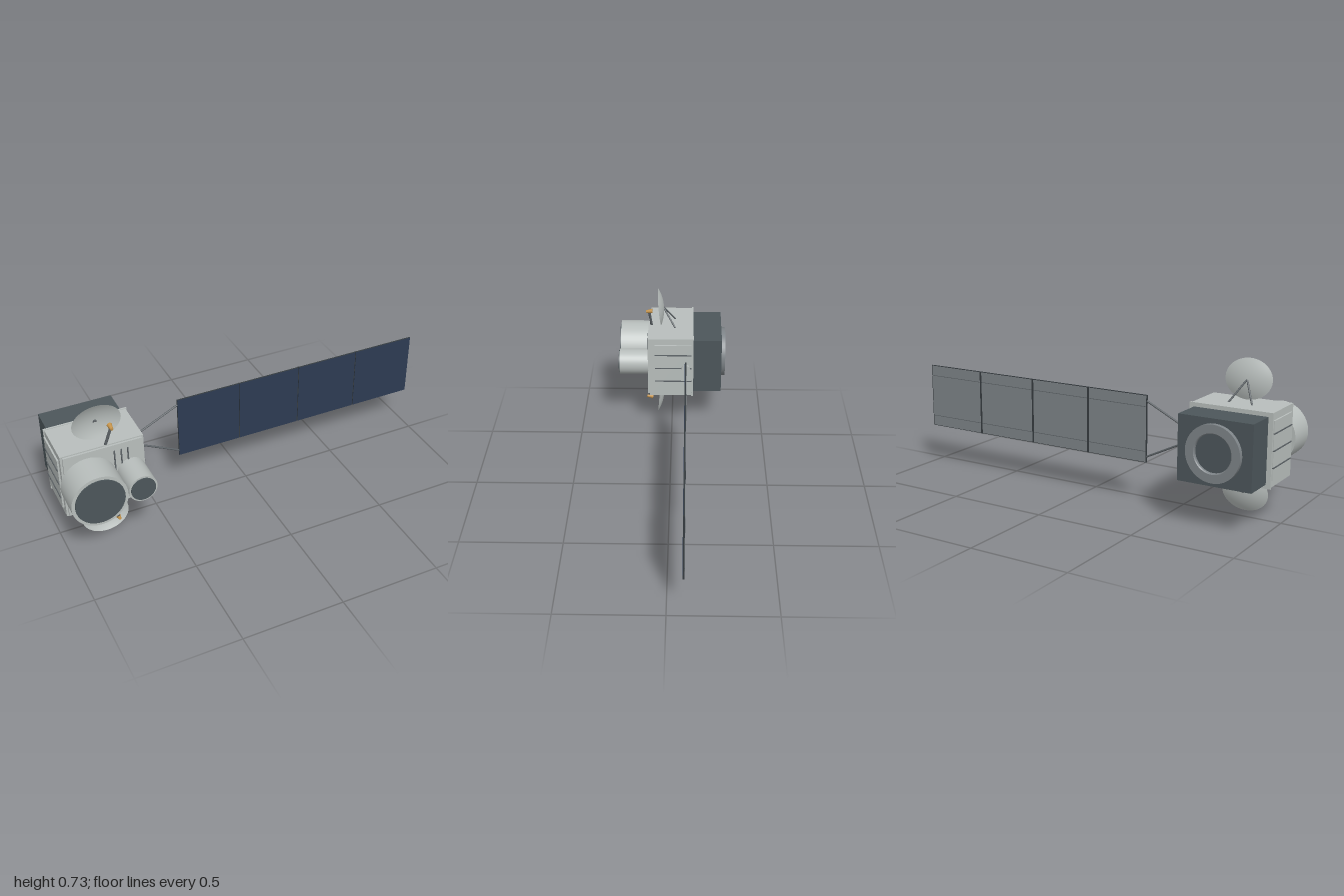
import * as THREE from 'three';

const CY = 0.369;   // mid height of the craft
const BX = -0.785;  // middle of the body across
const V = (x, y, z) => new THREE.Vector3(x, y, z);

function paint(name, color, side = THREE.FrontSide) {
  const m = new THREE.MeshStandardMaterial({ color, side });
  m.name = name;
  return m;
}

export function createModel() {
  const root = new THREE.Group();
  root.name = 'satellite';

  const hull = paint('hull light grey', 0xb8bebc);
  const dishPaint = paint('dish light grey', 0xb8bebc, THREE.DoubleSide);
  const dark = paint('dark slate', 0x4c565a);
  const strut = paint('strut grey', 0x5c6266);
  const cells = paint('solar cell navy', 0x2d3b52);
  const back = paint('panel back grey', 0x7e8488);
  const trim = paint('panel edge charcoal', 0x363c40);
  const gold = paint('feed gold', 0xc4934a);

  const add = (parent, name, geo, mat, pos) => {
    const m = new THREE.Mesh(geo, mat);
    m.name = name;
    if (pos) m.position.copy(pos);
    parent.add(m);
    return m;
  };
  const box = (parent, name, mat, w, h, d, x, y, z) =>
    add(parent, name, new THREE.BoxGeometry(w, h, d), mat, V(x, y, z));
  // Round part between two points, r0 at a and r1 at b
  const rod = (parent, name, mat, a, b, r0, r1 = r0, sides = 10) => {
    const d = b.clone().sub(a);
    const m = add(parent, name, new THREE.CylinderGeometry(r1, r0, d.length(), sides), mat,
      a.clone().add(b).multiplyScalar(0.5));
    m.quaternion.setFromUnitVectors(V(0, 1, 0), d.normalize());
    return m;
  };
  const group = (name) => {
    const g = new THREE.Group();
    g.name = name;
    root.add(g);
    return g;
  };

  // Main body
  const body = group('body');
  box(body, 'hull', hull, 0.4, 0.344, 0.23, BX, CY, 0.007);
  box(body, 'frontPlate', hull, 0.38, 0.332, 0.01, BX, CY, 0.127);
  box(body, 'rearFlange', hull, 0.41, 0.35, 0.01, BX, CY, -0.112);
  for (const s of [1, -1]) {
    const x = BX + s * 0.2;
    box(body, 'sidePanel', hull, 0.012, 0.275, 0.2, x + s * 0.002, CY, -0.005);
    for (const dy of [-0.079, 0, 0.079])
      box(body, 'sideRib', strut, 0.008, 0.005, 0.2, x + s * 0.008, CY + dy, -0.007);
  }
  for (const x of [-0.733, -0.7, -0.668])
    box(body, 'frontLouvre', strut, 0.006, 0.265, 0.008, x, CY + 0.003, 0.133);

  // Rear module with docking ring
  const rear = group('rearModule');
  box(rear, 'rearBox', dark, 0.365, 0.31, 0.155, BX, CY, -0.1925);
  const ringProfile = [[0.09, -0.01], [0.134, -0.01], [0.134, 0.022], [0.094, 0.022], [0.09, 0.018], [0.09, -0.01]];
  const corners = [];
  for (let i = 0; i + 1 < ringProfile.length; i++) // doubled points keep the edges sharp
    for (const p of [ringProfile[i], ringProfile[i + 1]]) corners.push(new THREE.Vector2(...p));
  const ringGeo = new THREE.LatheGeometry(corners, 40).toNonIndexed();
  ringGeo.rotateX(-Math.PI / 2);
  add(rear, 'rearRing', ringGeo, back, V(BX, CY, -0.27));
  rod(rear, 'rearHatch', dark, V(BX, CY, -0.268), V(BX, CY, -0.275), 0.091, 0.091, 40);

  // Two instrument barrels on the front
  for (const [name, x, r, lens] of [['large', -0.865, 0.135, 0.119], ['small', -0.658, 0.069, 0.06]]) {
    const g = group(name + 'Telescope');
    rod(g, 'barrel', hull, V(x, CY, 0.13), V(x, CY, 0.287), r, r, 48);
    rod(g, 'aperture', dark, V(x, CY, 0.286), V(x, CY, 0.292), lens, lens, 48);
  }

  // Dish antennas above and below
  const profile = [];
  for (let i = 0; i <= 8; i++) {
    const t = i / 8;
    profile.push(new THREE.Vector2(0.118 * t, 0.023 * (t * t - 1)));
  }
  for (const s of [1, -1]) {
    const g = group(s > 0 ? 'upperAntenna' : 'lowerAntenna');
    const at = (x, dy, z) => V(x, CY + s * dy, z);
    const dishGeo = new THREE.LatheGeometry(profile, 40);
    dishGeo.rotateX(Math.PI / 2);
    dishGeo.scale(1, 0.82, 1);
    add(g, 'dish', dishGeo, dishPaint, at(BX, 0.271, 0.07)).rotation.x = s * 0.106;
    for (const side of [-1, 1])
      rod(g, 'dishStrut', strut, at(BX + side * 0.062, 0.165, -0.02), at(BX, 0.271, 0.051), 0.0045);
    rod(g, 'feedBoom', strut, at(-0.767, 0.165, 0.114), at(-0.737, 0.264, 0.127), 0.007);
    rod(g, 'feedHorn', gold, at(-0.737, 0.268, 0.109), at(-0.737, 0.264, 0.143), 0.0125, 0.007, 16);
  }

  // Solar wing: hub, yoke and four panels
  const wing = group('solarWing');
  const z = -0.075;
  rod(wing, 'hub', hull, V(-0.59, CY, z), V(-0.56, CY, z), 0.025, 0.025, 8);
  for (const s of [1, -1])
    rod(wing, 'yokeArm', strut, V(-0.572, CY + s * 0.02, z), V(-0.333, CY + s * 0.137, z), 0.005);
  const pitch = 0.334;
  for (let i = 0; i < 4; i++) {
    const x = -0.336 + pitch * (i + 0.5);
    const g = new THREE.Group();
    g.name = 'solarPanel';
    wing.add(g);
    box(g, 'panelCore', trim, pitch - 0.003, 0.332, 0.007, x, CY, z);
    box(g, 'cellFace', cells, pitch - 0.005, 0.33, 0.002, x, CY, z + 0.0038);
    box(g, 'panelBack', back, pitch - 0.012, 0.326, 0.002, x, CY, z - 0.0038);
    for (const s of [1, -1])
      box(g, 'backStringer', strut, pitch - 0.012, 0.003, 0.002, x, CY + s * 0.11, z - 0.0045);
  }
  for (let i = 1; i < 4; i++)
    box(wing, 'hinge', trim, 0.008, 0.332, 0.006, -0.336 + pitch * i, CY, z - 0.0025);

  return root;
}
